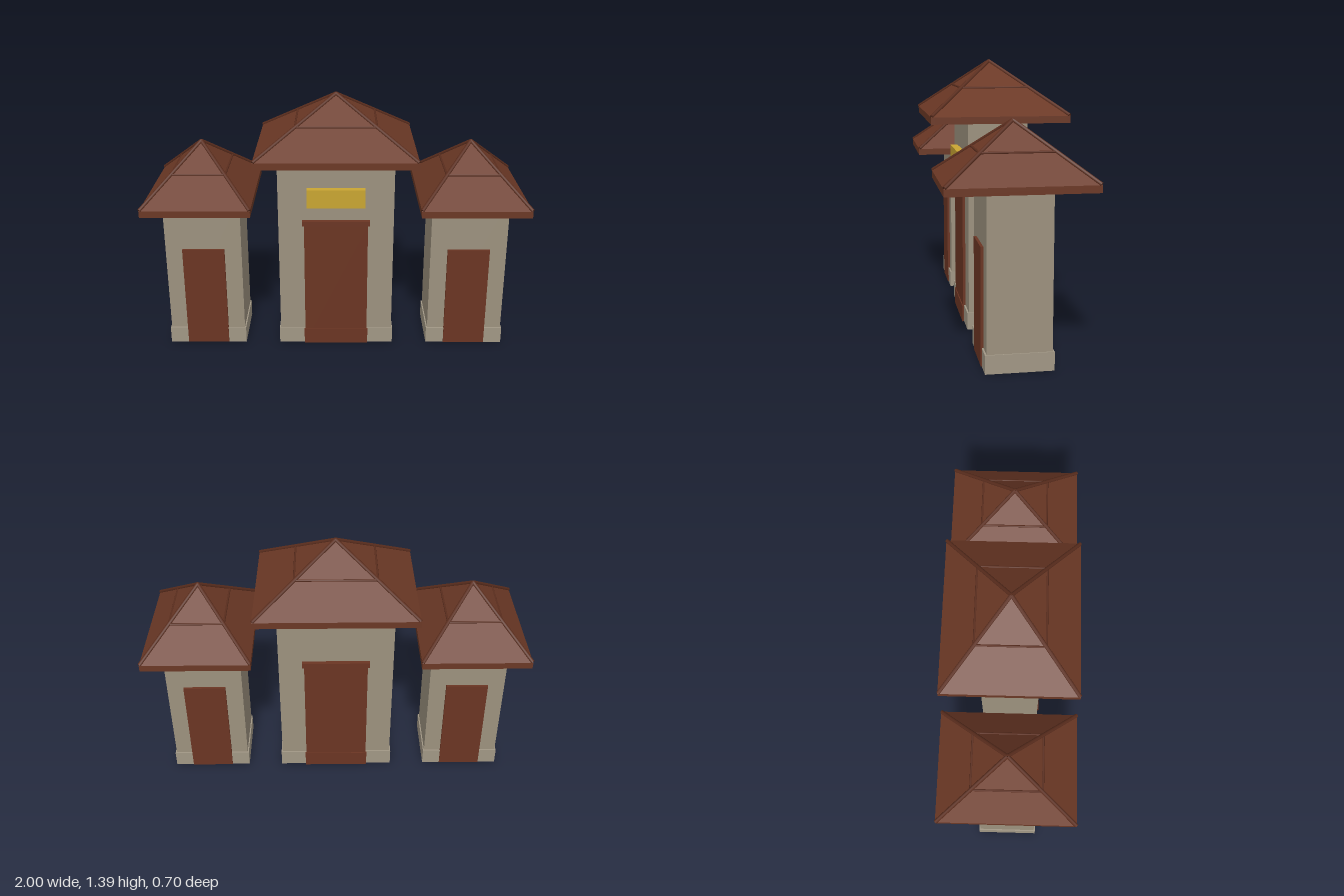
import * as THREE from 'three';

const mat = (name, color) => {
  const m = new THREE.MeshStandardMaterial({ color });
  m.name = name;
  return m;
};

export function createModel() {
  const wall = mat('stoneWall', 0x9c917e);
  const plinthMat = mat('paleStone', 0xa19785);
  const roofMat = mat('roofBrown', 0x6b3825);
  const trimMat = mat('trimBrown', 0x5c2e1e);
  const doorMat = mat('doorBrown', 0x6b3523);
  const gold = mat('gold', 0xc9a532);

  const add = (parent, name, geometry, material, x = 0, y = 0, z = 0) => {
    const m = new THREE.Mesh(geometry, material);
    m.name = name;
    m.position.set(x, y, z);
    parent.add(m);
    return m;
  };
  // Box given by its width, bottom, top and depth
  const block = (parent, name, material, w, y0, y1, d, x = 0, z = 0) =>
    add(parent, name, new THREE.BoxGeometry(w, y1 - y0, d), material, x, (y0 + y1) / 2, z);

  // Round bar between two points
  const bar = (parent, name, a, b, r) => {
    const dir = b.clone().sub(a);
    const m = add(parent, name, new THREE.CylinderGeometry(r, r, dir.length(), 8), trimMat);
    m.position.copy(a).add(b).multiplyScalar(0.5);
    m.quaternion.setFromUnitVectors(new THREE.Vector3(0, 1, 0), dir.normalize());
  };

  // Hipped roof: hollow fascia, pyramid, hip ridges and a band halfway up
  const addRoof = (parent, hx, hz, y0, eave, apex) => {
    const roof = new THREE.Group();
    roof.name = 'roof';
    parent.add(roof);
    const cone = new THREE.ConeGeometry(Math.SQRT2, 1, 4, 1).toNonIndexed();
    cone.rotateY(Math.PI / 4).scale(hx, apex - eave, hz);
    cone.computeVertexNormals();
    add(roof, 'roofSlopes', cone, roofMat, 0, (eave + apex) / 2, 0);
    const t = 0.02;
    for (const s of [-1, 1]) {
      block(roof, 'fascia', roofMat, hx * 2, y0, eave, t, 0, s * (hz - t / 2));
      block(roof, 'fascia', roofMat, t, y0, eave, hz * 2 - t * 2, s * (hx - t / 2), 0);
    }
    const corners = [[-1, -1], [1, -1], [1, 1], [-1, 1]];
    const point = ([sx, sz], f) =>
      new THREE.Vector3(sx * hx * f, apex + (eave - apex) * f, sz * hz * f);
    corners.forEach((c, i) => {
      bar(roof, 'hipRidge', point(c, 0.99), point(c, 0), 0.01);
      bar(roof, 'roofBand', point(c, 0.5), point(corners[(i + 1) % 4], 0.5), 0.006);
    });
  };

  // Tower with plinth, cornice, roof and a door on both faces
  const addTower = (name, x, o) => {
    const g = new THREE.Group();
    g.name = name;
    g.position.x = x;
    block(g, 'walls', wall, o.w, 0.005, o.top + 0.03, 0.305);
    block(g, 'plinth', plinthMat, o.w + 0.013, 0, 0.09, 0.322);
    block(g, 'cornice', plinthMat, o.w + 0.03, o.top + 0.004, o.top + 0.034, 0.335);
    addRoof(g, o.roofX, 0.348, o.top, o.top + 0.035, o.apex);
    for (const s of [-1, 1])
      block(g, 'door', doorMat, o.doorW, 0.002, o.doorTop, 0.03, 0, s * 0.151);
    return g;
  };

  const model = new THREE.Group();
  model.name = 'gatehouse';
  const main = addTower('mainTower', 0,
    { w: 0.614, top: 1.085, apex: 1.385, roofX: 0.415, doorW: 0.34, doorTop: 0.71 });
  for (const s of [-1, 1]) {
    block(main, 'doorLintel', doorMat, 0.36, 0.71, 0.738, 0.036, 0, s * 0.158);
    block(main, 'doorFoot', doorMat, 0.35, 0, 0.088, 0.03, 0, s * 0.156);
  }
  block(main, 'signPlaque', gold, 0.306, 0.82, 0.92, 0.045, 0, 0.17);
  model.add(main);
  for (const s of [-1, 1])
    model.add(addTower(s < 0 ? 'rightTower' : 'leftTower', s * 0.713,
      { w: 0.408, top: 0.83, apex: 1.13, roofX: 0.28, doorW: 0.226, doorTop: 0.568 }));
  return model;
}
